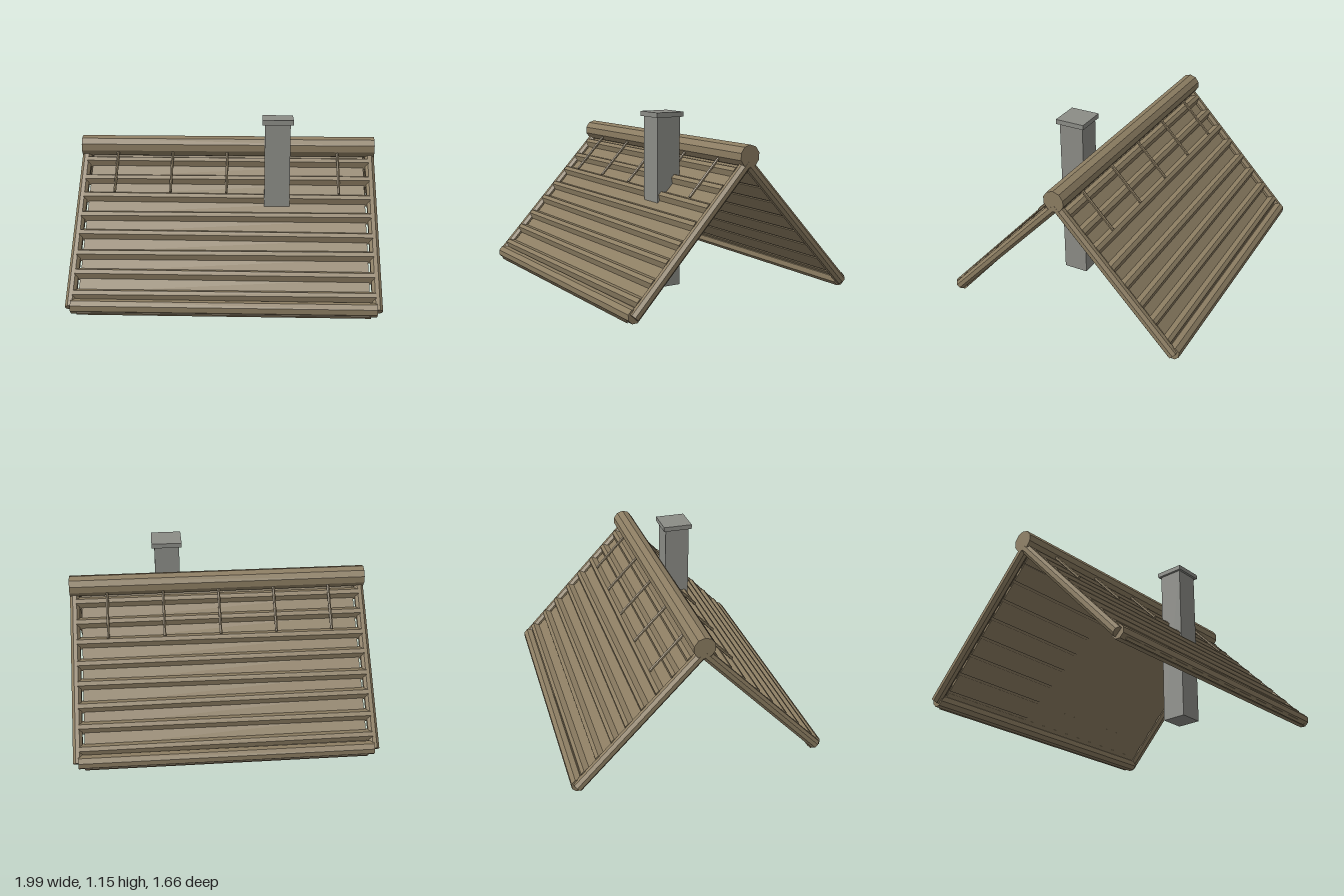
import * as THREE from 'three';

const wood = new THREE.MeshStandardMaterial({ color: 0x8c7d62, flatShading: true });
wood.name = 'weathered wood';
const stone = new THREE.MeshStandardMaterial({ color: 0x8b8c86, flatShading: true });
stone.name = 'grey stone';

const RUN = 0.785, RISE = 0.83, EAVE_Y = 0.05;
const SLOPE = Math.hypot(RUN, RISE);

function add(parent, name, geometry, material, x = 0, y = 0, z = 0) {
  const mesh = new THREE.Mesh(geometry, material);
  mesh.name = name;
  mesh.position.set(x, y, z);
  parent.add(mesh);
  return mesh;
}

// Log lying along x, turned half a facet so that a flat side is on top
function logAlongX(radius, length, sides) {
  return new THREE.CylinderGeometry(radius, radius, length, sides)
    .rotateY(Math.PI / sides).rotateZ(Math.PI / 2);
}

// Plank along x with a trapezoid section: a runs up the slope, b away from it
function plank(length, baseWidth, topWidth, bottom, top) {
  const shape = new THREE.Shape([
    new THREE.Vector2(-baseWidth / 2, bottom), new THREE.Vector2(baseWidth / 2, bottom),
    new THREE.Vector2(topWidth / 2, top), new THREE.Vector2(-topWidth / 2, top),
  ]);
  const geometry = new THREE.ExtrudeGeometry(shape, { depth: length, bevelEnabled: false });
  geometry.translate(0, 0, -length / 2);
  return geometry.applyMatrix4(new THREE.Matrix4().makeBasis(
    new THREE.Vector3(0, 1, 0), new THREE.Vector3(0, 0, 1), new THREE.Vector3(1, 0, 0)));
}

// One roof slope; local y runs up the slope and local z is its outward normal
function createSlope() {
  const slope = new THREE.Group();
  slope.name = 'roofSlope';
  slope.position.set(0, EAVE_Y, RUN);
  slope.rotation.x = -Math.atan2(RUN, RISE);

  // Wide under-boards, with raised battens covering their joints
  const tilts = [0.003, -0.002, 0.004, -0.004, 0.002, -0.004, 0.001, -0.001];
  const board = plank(1.84, 0.125, 0.115, -0.012, 0.006);
  const batten = plank(1.91, 0.085, 0.028, -0.004, 0.038);
  for (let i = 0; i < 8; i++) {
    const s = 0.08 + 0.14 * i;
    add(slope, 'underBoard', board, wood, 0, s - 0.07, 0);
    add(slope, 'batten', batten, wood, 0, s, 0).rotation.z = tilts[i];
  }
  add(slope, 'topBoard', plank(1.84, 0.09, 0.08, -0.012, 0.006), wood, 0, 1.1, 0);

  // Eave log and the two gable poles
  add(slope, 'eaveLog', logAlongX(0.046, 1.92, 8), wood);
  for (const side of [-1, 1]) {
    const pole = new THREE.CylinderGeometry(0.034, 0.034, SLOPE + 0.02, 8).rotateY(Math.PI / 8);
    add(slope, 'gablePole', pole, wood, side * 0.964, SLOPE / 2, 0);
  }

  // Thin rods hanging down from the ridge
  const rod = new THREE.CylinderGeometry(0.01, 0.01, 0.33, 6);
  for (let i = -2; i <= 2; i++) add(slope, 'ridgeRod', rod, wood, i * 0.373, 0.965, 0.045);
  return slope;
}

export function createModel() {
  const model = new THREE.Group();
  model.name = 'gableRoof';

  const front = new THREE.Group();
  front.name = 'frontRoof';
  front.add(createSlope());
  const back = new THREE.Group();
  back.name = 'backRoof';
  back.add(createSlope());
  back.rotation.y = Math.PI;
  model.add(front, back);

  // Ridge log
  add(model, 'ridgeLog', logAlongX(0.071, 1.99, 10), wood, 0, 0.922, 0);

  // Chimney through the front slope
  const chimney = new THREE.Group();
  chimney.name = 'chimney';
  add(chimney, 'chimneyShaft', new THREE.BoxGeometry(0.167, 1.11, 0.167), stone, 0.336, 0.575, 0.21);
  add(chimney, 'chimneyCap', new THREE.BoxGeometry(0.203, 0.032, 0.2), stone, 0.337, 1.142, 0.21);
  model.add(chimney);
  return model;
}
